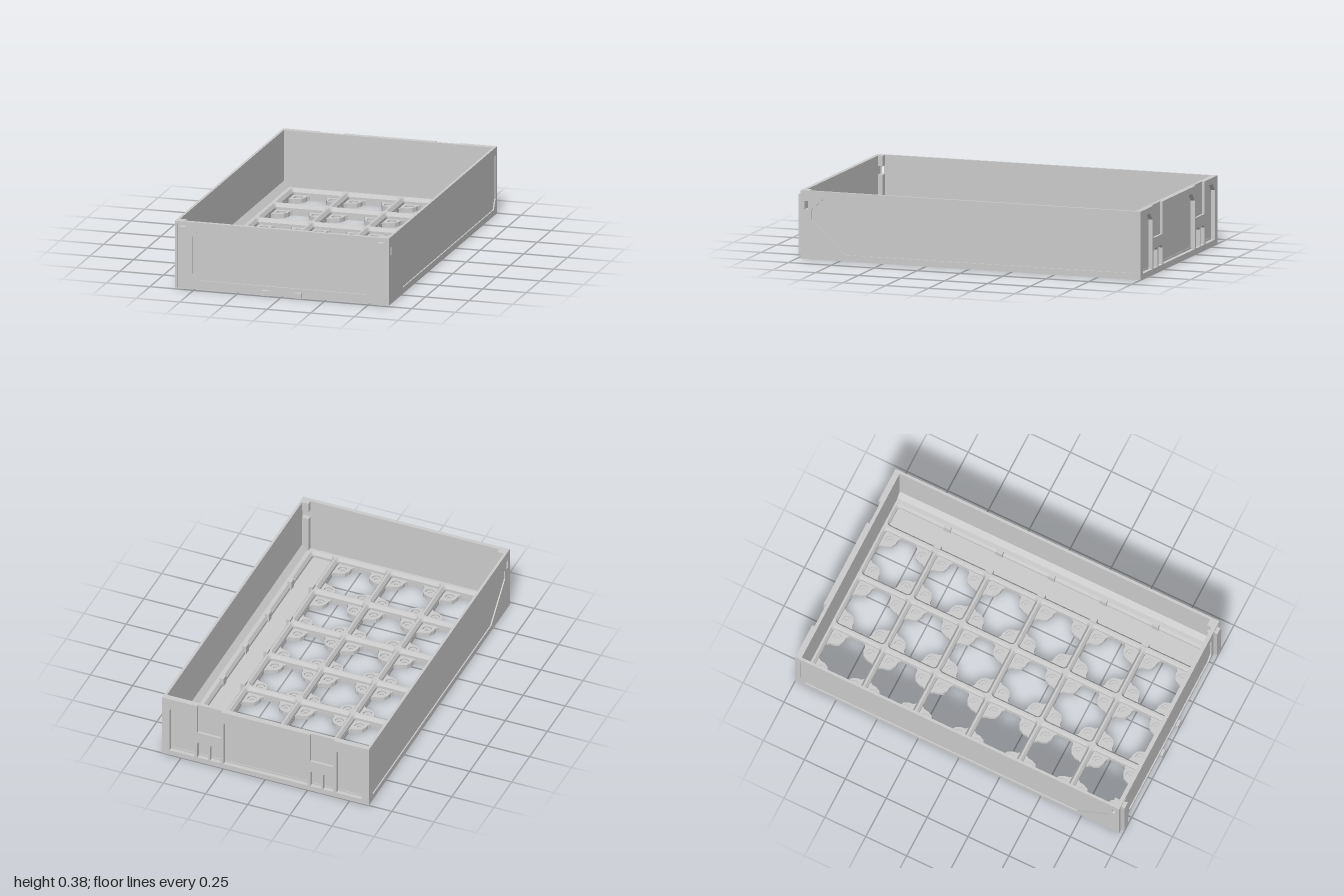
import * as THREE from 'three';

const material = new THREE.MeshStandardMaterial({ color: 0xcccccc, flatShading: true });
const PITCH = 0.3175;
const cellsX = [-0.395, -0.0775, 0.24];
const cellsZ = [0, 1, 2, 3, 4, 5].map(i => -0.007 + (i - 2.5) * PITCH);

const poly = pts => new THREE.Shape(pts.map(p => new THREE.Vector2(p[0], p[1])));
const rect = (x0, y0, x1, y1) => [[x0, y0], [x1, y0], [x1, y1], [x0, y1]];

// Rectangle with cut corners: c at the bottom, t at the top
const cutRect = (x0, y0, x1, y1, c, t) => [
  [x0 + c, y0], [x1 - c, y0], [x1, y0 + c], [x1, y1 - t],
  [x1 - t, y1], [x0 + t, y1], [x0, y1 - t], [x0, y0 + c]];

const circle = (x, y, r, n = 16) => Array.from({ length: n }, (_, i) => {
  const a = i / n * Math.PI * 2;
  return [x + r * Math.cos(a), y + r * Math.sin(a)];
});

const roundRect = (x0, y0, x1, y1, r) => {
  const pts = [];
  [[x1 - r, y1 - r], [x0 + r, y1 - r], [x0 + r, y0 + r], [x1 - r, y0 + r]].forEach(([x, y], q) => {
    for (let i = 0; i <= 3; i++) {
      const a = (q + i / 3) * Math.PI / 2;
      pts.push([x + r * Math.cos(a), y + r * Math.sin(a)]);
    }
  });
  return pts;
};

function extrude(outline, holes, depth, bevel) {
  const shape = poly(outline);
  shape.holes = holes.map(poly);
  return new THREE.ExtrudeGeometry(shape, { depth, bevelEnabled: !!bevel, bevelSegments: 1, ...bevel });
}

// Cross-shaped opening, leaving a rounded pad in every corner of a cell
function crossHole(cx, cy) {
  const corner = [[0.14, 0.045], [0.125, 0.057], [0.1, 0.06], [0.073, 0.073],
    [0.06, 0.1], [0.057, 0.125], [0.045, 0.14]];
  const pts = [];
  for (let q = 0; q < 4; q++) {
    const c = Math.round(Math.cos(q * Math.PI / 2)), s = Math.round(Math.sin(q * Math.PI / 2));
    corner.forEach(([x, y]) => pts.push([cx + x * c - y * s, cy + x * s + y * c]));
  }
  return pts;
}

export function createModel() {
  const model = new THREE.Group();
  const add = (name, geometry, x = 0, y = 0, z = 0) => {
    const mesh = new THREE.Mesh(geometry, material);
    mesh.name = name;
    mesh.position.set(x, y, z);
    model.add(mesh);
    return mesh;
  };
  const box = (name, x0, x1, y0, y1, z0, z1) =>
    add(name, new THREE.BoxGeometry(x1 - x0, y1 - y0, z1 - z0),
      (x0 + x1) / 2, (y0 + y1) / 2, (z0 + z1) / 2);
  const flat = (name, geometry, y) => add(name, geometry.rotateX(-Math.PI / 2), 0, y, 0);

  // Floor in layers, with stepped round sockets in the pads
  const crosses = [], centres = [];
  for (const x of cellsX) for (const z of cellsZ) {
    crosses.push(crossHole(x, -z));
    for (const a of [-1, 1]) for (const b of [-1, 1]) centres.push([x + a * 0.1, -z + b * 0.1]);
  }
  const floorOutline = rect(-0.6, -0.965, 0.6, 0.975);
  [[0, 0.008, 0], [0.008, 0.008, 0.011], [0.016, 0.009, 0.025]].forEach(([y, h, r]) => {
    const sockets = r ? centres.map(([x, v]) => circle(x, v, r)) : [];
    flat('floor', extrude(floorOutline, [...crosses, ...sockets], h), y);
  });

  // Raised grid with sloping rims, and the long compartment beside it
  const cells = [];
  for (const x of cellsX) for (const z of cellsZ)
    cells.push(roundRect(x - 0.153, -z - 0.153, x + 0.153, -z + 0.153, 0.025));
  cells.push(roundRect(0.405, -0.94, 0.545, 0.954, 0.025));
  flat('grid', extrude(rect(-0.584, -0.955, 0.584, 0.965), cells, 0.015,
    { bevelThickness: 0.02, bevelSize: 0.012 }), 0.025);
  for (let i = 0; i < 5; i++) {
    const z = (cellsZ[i] + cellsZ[i + 1]) / 2;
    box('compartmentClip', 0.4, 0.424, 0.02, 0.075, z - 0.02, z + 0.02);
    box('compartmentClip', 0.526, 0.55, 0.02, 0.075, z - 0.02, z + 0.02);
  }

  // Side walls with a recessed panel and a small slot near the front
  const sideOutline = rect(-0.98, 0, 0.995, 0.38);
  const slot = rect(-0.955, 0.275, -0.935, 0.322);
  const sidePanel = [[-0.85, 0.335], [-0.915, 0.275], [-0.915, 0.22], [-0.72, 0.035],
    [0.94, 0.035], [0.97, 0.09], [0.97, 0.335]];
  for (const s of [-1, 1]) {
    const layer = (name, holes, x0, x1) =>
      add(name, extrude(sideOutline, holes, x1 - x0).rotateY(Math.PI / 2), s > 0 ? x0 : -x1);
    layer('sideWall', [slot], 0.598, 0.606);
    layer('sideFrame', [slot, sidePanel], 0.606, 0.613);

    // Sloping foot of the wall and the front corner pillars
    add('wallFoot', extrude([[s * 0.565, 0.055], [s * 0.6, 0.055], [s * 0.6, 0.095]], [], 1.925), 0, 0, -0.97);
    const [a, b] = s > 0 ? [0.56, 0.6] : [-0.6, -0.56];
    box('cornerPillar', a, b, 0.05, 0.275, 0.93, 0.96);
    box('cornerPillar', a, b, 0.322, 0.38, 0.93, 0.96);

    // Dovetail rails and bottom tabs on the front
    const rail = (name, w0, w1, y0, y1, x, z1) =>
      flat(name, extrude([[-w0, -0.97], [-w1, -z1], [w1, -z1], [w0, -0.97]], [], y1 - y0), y0).position.x = x;
    rail('dovetailRail', 0.013, 0.022, 0.02, 0.355, s * 0.567, 1);
    rail('railFoot', 0.013, 0.017, 0, 0.02, s * 0.567, 0.99);
    rail('frontTab', 0.016, 0.022, 0, 0.029, s * 0.095, 0.995);
  }

  // Front wall with a raised frame around an eight-sided panel
  box('frontWall', -0.6, 0.6, 0, 0.38, 0.957, 0.972);
  add('frontFrame', extrude(cutRect(-0.54, 0.035, 0.54, 0.366, 0.015, 0.015),
    [cutRect(-0.515, 0.052, 0.515, 0.348, 0.035, 0.05)], 0.008), 0, 0, 0.972);
  box('frontTopRim', -0.6, 0.6, 0.366, 0.38, 0.97, 0.98);

  // Back wall: thin inner skin, deep outer frame with pockets and two top notches
  box('backWall', -0.6, 0.6, 0, 0.38, -0.976, -0.967);
  const backOutline = [[-0.613, 0], [0.613, 0], [0.613, 0.38],
    [0.405, 0.38], [0.405, 0.2], [0.265, 0.2], [0.265, 0.38],
    [-0.265, 0.38], [-0.265, 0.2], [-0.405, 0.2], [-0.405, 0.38], [-0.613, 0.38]];
  const pockets = [cutRect(-0.25, 0.03, 0.25, 0.345, 0.001, 0.045)];
  for (const s of [-1, 1]) {
    pockets.push(cutRect(s * 0.495 - 0.075, 0.03, s * 0.495 + 0.075, 0.345, 0.001, 0.04));
    pockets.push(cutRect(s * 0.298 - 0.032, 0.03, s * 0.298 + 0.032, 0.14, 0.001, 0.015));
    pockets.push(cutRect(s * 0.373 - 0.032, 0.03, s * 0.373 + 0.032, 0.14, 0.001, 0.015));
    box('notchBack', s * 0.335 - 0.072, s * 0.335 + 0.072, 0.19, 0.38, -0.986, -0.97);
  }
  add('backFrame', extrude(backOutline, pockets, 0.025), 0, 0, -1);

  return model;
}
